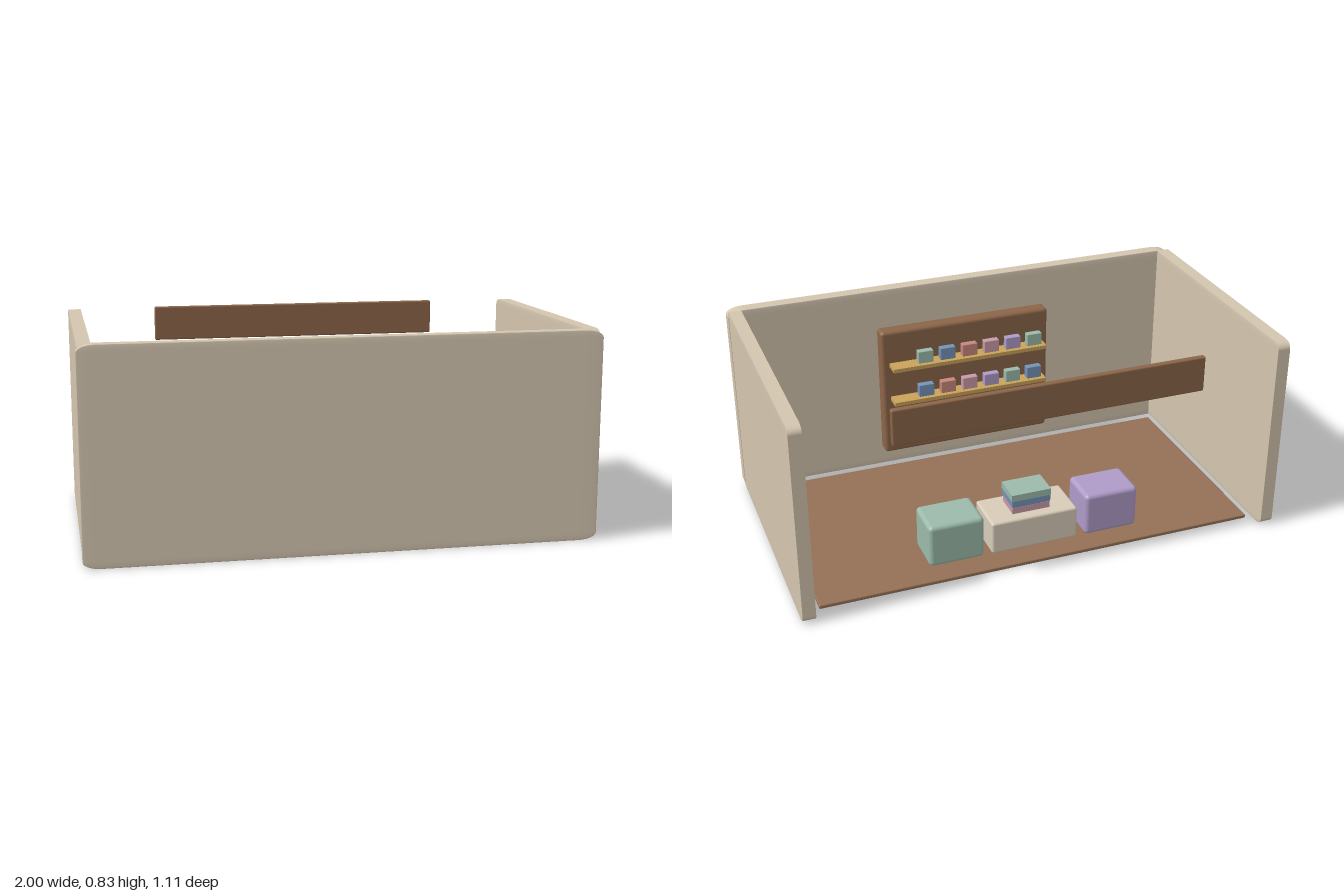
import * as THREE from 'three';
import { RoundedBoxGeometry } from 'three/addons/geometries/RoundedBoxGeometry.js';

const mats = {};
function material(color) {
  mats[color] ??= new THREE.MeshStandardMaterial({ color });
  return mats[color];
}

const WALL = 0xd4c6b0, WOOD = 0x957156, BOARD = 0x8b6548, SHELF = 0xc9a35a;
const GREEN = 0x9bbaab, PURPLE = 0xaf9bc8, PINK = 0xc99aa8, RED = 0xc8877c, BLUE = 0x7593b8;
const PALETTE = [GREEN, PURPLE, PINK, RED, BLUE];

// Box given by its [min, max] on each axis; round = edge radius
function block(name, color, [x0, x1], [y0, y1], [z0, z1], round = 0) {
  const w = x1 - x0, h = y1 - y0, d = z1 - z0;
  const geo = round > 0 ? new RoundedBoxGeometry(w, h, d, 3, round) : new THREE.BoxGeometry(w, h, d);
  geo.translate((x0 + x1) / 2, (y0 + y1) / 2, (z0 + z1) / 2);
  const mesh = new THREE.Mesh(geo, material(color));
  mesh.name = name;
  return mesh;
}

// Panel: a rounded unit cube stretched to size, so its corners stretch with it
function panel(name, color, [x0, x1], [y0, y1], [z0, z1]) {
  const geo = new RoundedBoxGeometry(1, 1, 1, 4, 0.035);
  geo.scale(x1 - x0, y1 - y0, z1 - z0);
  geo.translate((x0 + x1) / 2, (y0 + y1) / 2, (z0 + z1) / 2);
  const mesh = new THREE.Mesh(geo, material(color));
  mesh.name = name;
  return mesh;
}

export function createModel() {
  const room = new THREE.Group();
  room.name = 'room';

  // Floor and walls
  room.add(
    block('floor', WOOD, [-0.915, 0.915], [0, 0.017], [-0.48, 0.445], 0.005),
    panel('frontWall', WALL, [-1, 1], [0, 0.833], [0.5, 0.555]),
    panel('leftWall', WALL, [0.942, 0.997], [0.003, 0.833], [-0.555, 0.53]),
    panel('rightWall', WALL, [-0.997, -0.942], [0.003, 0.833], [-0.555, 0.53]),
  );

  // Hanging beam at the open side
  room.add(block('beam', BOARD, [-0.625, 0.622], [0.688, 0.833], [-0.555, -0.53], 0.006));

  // Display rack: back board with three shelves of small boxes
  const rack = new THREE.Group();
  rack.name = 'displayRack';
  rack.add(block('rackBoard', BOARD, [-0.383, 0.38], [0.085, 0.665], [0.435, 0.502], 0.015));
  for (let row = 0; row < 3; row++) {
    const top = 0.2 + row * 0.16;
    rack.add(block('shelf', SHELF, [-0.353, 0.347], [top - 0.017, top], [0.367, 0.437]));
    for (let i = 0; i < 6; i++) {
      const x = -0.303 + i * 0.1;
      rack.add(block('shelfBox', PALETTE[(i + 3 + row) % 5],
        [x - 0.034, x + 0.034], [top, top + 0.055], [0.385, 0.416], 0.003));
    }
  }
  room.add(rack);

  // Two padded stools either side of a low table
  room.add(
    block('purpleStool', PURPLE, [-0.45, -0.22], [0.017, 0.2], [-0.39, -0.21], 0.018),
    block('greenStool', GREEN, [0.215, 0.445], [0.017, 0.2], [-0.39, -0.21], 0.018),
    block('table', 0xd8ccb8, [-0.185, 0.182], [0.017, 0.157], [-0.385, -0.19], 0.01),
  );

  // Stack of books on the table
  [PINK, BLUE, GREEN].forEach((color, i) => {
    const y = 0.157 + i * 0.03, inset = (2 - i) * 0.002;
    room.add(block('book', color, [-0.085 + inset, 0.082 - inset], [y, y + 0.028], [-0.345 + inset, -0.225 - inset]));
  });

  return room;
}
